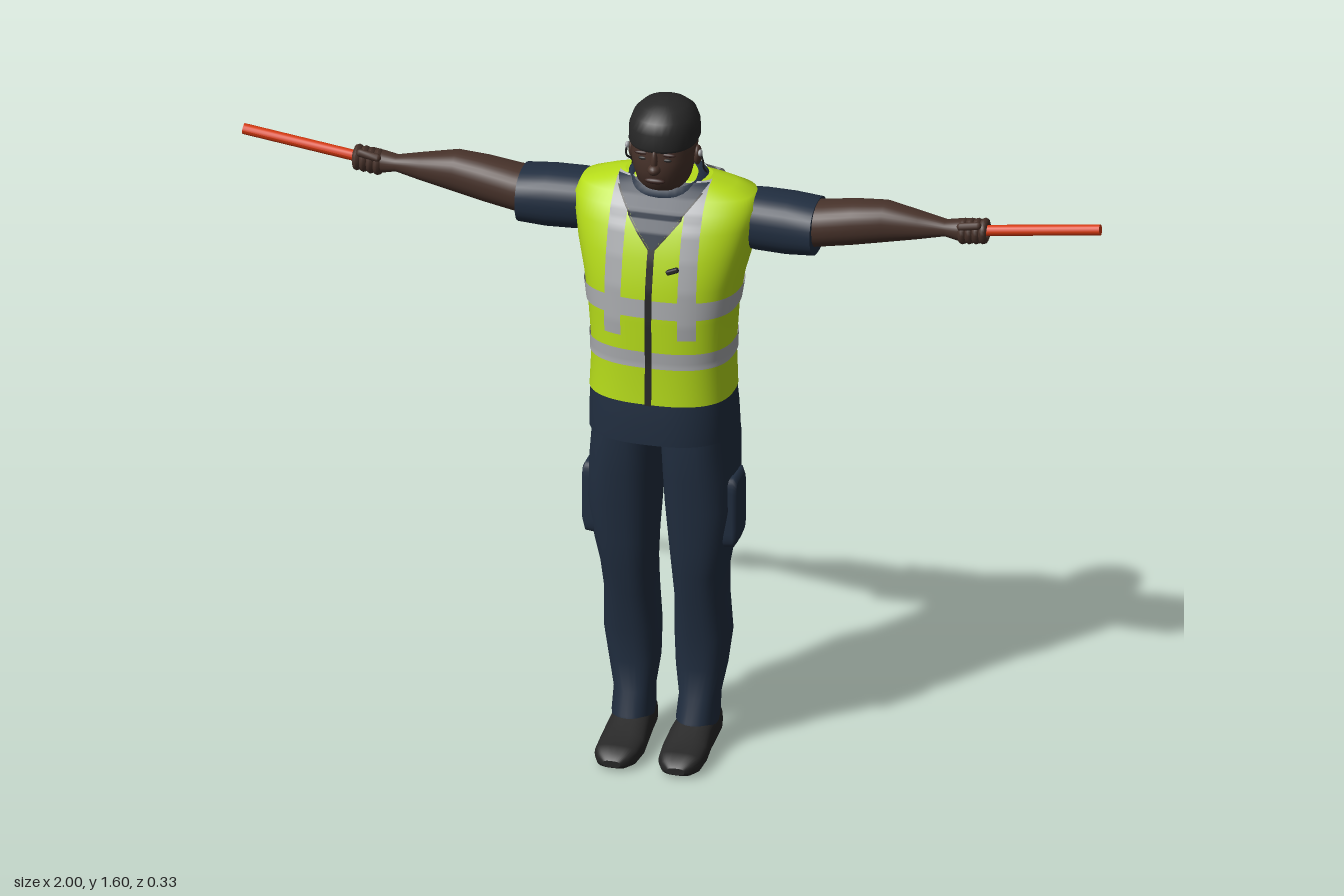
import * as THREE from 'three';
import { RoundedBoxGeometry } from 'three/addons/geometries/RoundedBoxGeometry.js';

const flat = (name, color) => {
  const m = new THREE.MeshStandardMaterial({ color });
  m.name = name;
  return m;
};

// Indices of a grid of rows x cols vertices, optionally closed around each row
function gridIndex(rows, cols, closed, flip = false) {
  const out = [];
  for (let i = 0; i < rows - 1; i++) for (let j = 0; j < (closed ? cols : cols - 1); j++) {
    const k = (j + 1) % cols;
    const a = i * cols + j, b = i * cols + k, c = (i + 1) * cols + k, d = (i + 1) * cols + j;
    if (flip) out.push(a, c, b, a, d, c); else out.push(a, b, c, a, c, d);
  }
  return out;
}

function build(pos, index) {
  const g = new THREE.BufferGeometry();
  g.setAttribute('position', new THREE.Float32BufferAttribute(pos, 3));
  g.setIndex(index);
  g.computeVertexNormals();
  return g;
}

// Loft of superellipse sections. Key: [position on axis, a0, a1, b0, b1];
// (a, b) is (z, x) for axis y, (y, z) for axis x and (x, y) for axis z.
function loft(axis, keys, { n = 2.2, seg = 32, caps = true } = {}) {
  const w = 'xyz'.indexOf(axis), pos = [];
  const add = (k, a, b) => {
    const p = [0, 0, 0];
    p[w] = k; p[(w + 1) % 3] = a; p[(w + 2) % 3] = b;
    pos.push(...p);
  };
  const ring = ([k, a0, a1, b0, b1]) => {
    for (let j = 0; j < seg; j++) {
      const t = j / seg * Math.PI * 2, c = Math.cos(t), s = Math.sin(t);
      add(k, (a0 + a1) / 2 + (a1 - a0) / 2 * Math.sign(c) * Math.abs(c) ** (2 / n),
        (b0 + b1) / 2 + (b1 - b0) / 2 * Math.sign(s) * Math.abs(s) ** (2 / n));
    }
  };
  keys.forEach(ring);
  const index = gridIndex(keys.length, seg, true);
  if (caps) [keys[0], keys[keys.length - 1]].forEach((key, end) => {
    const base = pos.length / 3;
    ring(key);
    add(key[0], (key[1] + key[2]) / 2, (key[3] + key[4]) / 2);
    for (let j = 0; j < seg; j++) {
      const a = base + j, b = base + (j + 1) % seg;
      index.push(base + seg, end ? a : b, end ? b : a);
    }
  });
  return build(pos, index);
}

// Mirror to the other side, keeping faces outward
function mirrored(g) {
  const m = g.clone().scale(-1, 1, 1), ix = m.index.array;
  for (let i = 0; i < ix.length; i += 3) [ix[i], ix[i + 1]] = [ix[i + 1], ix[i]];
  m.computeVertexNormals();
  return m;
}

// Torso sections: y, back z, front z, half width
const TORSO = [
  [0.90, -0.135, 0.125, 0.165], [1.00, -0.135, 0.12, 0.161], [1.10, -0.138, 0.125, 0.168],
  [1.18, -0.148, 0.12, 0.18], [1.25, -0.163, 0.105, 0.198], [1.31, -0.163, 0.085, 0.209],
  [1.35, -0.152, 0.06, 0.213], [1.374, -0.138, 0.037, 0.2], [1.39, -0.12, 0.018, 0.155], [1.405, -0.1, 0, 0.1]];
const TORSO_N = 2.6;

function torsoAt(y, lift = 0) {
  let i = 0;
  while (i < TORSO.length - 2 && y > TORSO[i + 1][0]) i++;
  const p = TORSO[i], q = TORSO[i + 1], t = (y - p[0]) / (q[0] - p[0]);
  const [zb, zf, h] = [1, 2, 3].map(k => p[k] + (q[k] - p[k]) * t);
  return [y, zb - lift, zf + lift, -h - lift, h + lift];
}

// Band lying around the torso
const band = (y0, y1, lift) => loft('y',
  Array.from({ length: 9 }, (_, i) => torsoAt(y0 + (y1 - y0) * i / 8, lift)), { n: TORSO_N, seg: 72, caps: false });

// Thin patch lying on the torso between x = left(y) and x = right(y)
function patch(left, right, y0, y1, front, lift) {
  const rows = 41, cols = 9, pos = [];
  for (let i = 0; i < rows; i++) {
    const y = y0 + (y1 - y0) * i / (rows - 1);
    const [, zb, zf, , h] = torsoAt(y, lift);
    for (let j = 0; j < cols; j++) {
      const x = THREE.MathUtils.clamp(left(y) + (right(y) - left(y)) * j / (cols - 1), -h, h);
      const depth = (zf - zb) / 2 * (1 - Math.abs(x / h) ** TORSO_N) ** (1 / TORSO_N);
      pos.push(x, y + (y > 1.34 ? lift : 0), (zf + zb) / 2 + (front ? depth : -depth));
    }
  }
  return build(pos, gridIndex(rows, cols, false, !front));
}

export function createModel() {
  const root = new THREE.Group();
  root.name = 'groundMarshaller';
  const lime = flat('hiVisLime', 0xb6dc1a), silver = flat('reflectiveSilver', 0xa9abae);
  const navy = flat('navyCloth', 0x212e40), skin = flat('skin', 0x47322a);
  const black = flat('charcoal', 0x272727), orange = flat('wandOrange', 0xd63a10);
  const lip = flat('lips', 0x3a2521);
  navy.side = silver.side = black.side = THREE.DoubleSide;

  const add = (name, geo, mat, x = 0, y = 0, z = 0) => {
    const m = new THREE.Mesh(geo, mat);
    m.name = name;
    m.position.set(x, y, z);
    root.add(m);
    return m;
  };
  const pair = (name, geo, mat) => {
    add(name + 'Left', geo, mat);
    add(name + 'Right', mirrored(geo), mat);
  };

  // Vest, reflective tape and front opening
  add('vest', loft('y', TORSO.map(k => torsoAt(k[0])), { n: TORSO_N, seg: 72 }), lime);
  add('waistTape', band(0.99, 1.03, 0.003), silver);
  add('chestTape', band(1.115, 1.158, 0.003), silver);
  for (const front of [true, false])
    pair(front ? 'frontTape' : 'backTape', patch(() => 0.066, () => 0.107, 1.065, 1.403, front, 0.004), silver);
  const neck = y => Math.max(0, (y - 1.27) * 0.82);
  add('zipper', patch(() => -0.008, () => 0.008, 0.9, 1.275, true, 0.006), black);
  add('shirtOpening', patch(y => -neck(y), neck, 1.27, 1.4, true, 0.006), navy);
  pair('lapelEdge', patch(neck, y => neck(y) + 0.005, 1.27, 1.385, true, 0.007), black);
  const clip = add('chestClip', new RoundedBoxGeometry(0.03, 0.012, 0.012, 2, 0.004), black, 0.052, 1.232, 0.112);
  clip.rotation.z = 0.4;

  // Shirt collar, higher at the back
  const collar = loft('y', [[1.375, -0.118, 0.045, -0.11, 0.11], [1.395, -0.112, 0.045, -0.098, 0.098],
    [1.415, -0.105, 0.04, -0.08, 0.08], [1.405, -0.095, 0.032, -0.07, 0.07]], { caps: false });
  const cp = collar.attributes.position;
  for (let i = 0; i < cp.count; i++) cp.setY(i, cp.getY(i) - 0.2 * (cp.getZ(i) + 0.03));
  collar.computeVertexNormals();
  add('collar', collar, navy);

  // Shirt tail and trouser legs
  add('shirtTail', loft('y', [[0.8, -0.152, 0.125, -0.167, 0.167], [0.85, -0.145, 0.126, -0.166, 0.166],
    [0.902, -0.132, 0.122, -0.163, 0.163]], { n: TORSO_N, seg: 48 }), navy);
  pair('trouserLeg', loft('y', [
    [0.05, -0.083, 0.04, 0.032, 0.118], [0.08, -0.088, 0.042, 0.028, 0.122], [0.13, -0.092, 0.018, 0.03, 0.122],
    [0.20, -0.102, 0.012, 0.02, 0.136], [0.28, -0.11, 0.022, 0.018, 0.147], [0.38, -0.104, 0.04, 0.022, 0.142],
    [0.45, -0.092, 0.058, 0.02, 0.146], [0.52, -0.088, 0.068, 0.015, 0.16], [0.62, -0.098, 0.082, 0.007, 0.174],
    [0.70, -0.122, 0.092, 0.002, 0.17], [0.77, -0.148, 0.1, -0.002, 0.165], [0.84, -0.14, 0.1, -0.002, 0.158]],
  { n: 2.4 }), navy);
  pair('cargoPocket', loft('x', [[0.13, 0.52, 0.7, -0.055, 0.045], [0.172, 0.525, 0.7, -0.055, 0.045],
    [0.18, 0.545, 0.685, -0.045, 0.035]], { n: 6 }), navy);

  // Shoes
  pair('shoe', loft('z', [
    [-0.096, 0.05, 0.1, 0.01, 0.06], [-0.085, 0.036, 0.115, 0, 0.085], [-0.03, 0.03, 0.12, 0, 0.095],
    [0.03, 0.024, 0.122, 0, 0.08], [0.08, 0.02, 0.126, 0, 0.058], [0.13, 0.025, 0.124, 0, 0.05],
    [0.155, 0.038, 0.112, 0.004, 0.04], [0.166, 0.055, 0.095, 0.01, 0.026]], { n: 3 }), black);

  // Sleeves, arms and fists
  pair('sleeve', loft('x', [[0.15, 1.245, 1.368, -0.135, 0.005], [0.21, 1.236, 1.372, -0.142, 0.008],
    [0.28, 1.234, 1.371, -0.142, 0.01], [0.344, 1.24, 1.366, -0.138, 0.012]], { n: 2.3 }), navy);
  pair('arm', loft('x', [
    [0.30, 1.252, 1.358, -0.125, 0], [0.36, 1.262, 1.366, -0.12, -0.003], [0.43, 1.273, 1.376, -0.118, -0.01],
    [0.50, 1.286, 1.381, -0.113, -0.02], [0.58, 1.302, 1.365, -0.1, -0.034], [0.64, 1.315, 1.352, -0.09, -0.046],
    [0.67, 1.308, 1.357, -0.096, -0.043], [0.70, 1.306, 1.36, -0.1, -0.045], [0.728, 1.312, 1.357, -0.096, -0.048]]), skin);
  for (let i = 0; i < 4; i++) {
    const finger = new THREE.TorusGeometry(0.021, 0.0095, 8, 18).rotateY(Math.PI / 2);
    pair('finger' + (i + 1), finger.translate(0.682 + i * 0.016, 1.331 + i * 0.002, -0.067), skin);
  }
  pair('thumb', new THREE.CapsuleGeometry(0.009, 0.04, 4, 10).rotateZ(-1.4).translate(0.7, 1.354, -0.046), skin);

  // Signal wands
  const from = new THREE.Vector3(0.67, 1.331, -0.066), to = new THREE.Vector3(0.999, 1.371, -0.073);
  const dir = to.clone().sub(from), mid = from.clone().add(to).multiplyScalar(0.5);
  const wand = new THREE.CylinderGeometry(0.0125, 0.0125, dir.length(), 16);
  wand.applyQuaternion(new THREE.Quaternion().setFromUnitVectors(new THREE.Vector3(0, 1, 0), dir.normalize()));
  pair('signalWand', wand.translate(mid.x, mid.y, mid.z), orange);

  // Head and neck
  const skull = [[1.34, -0.095, 0.012, 0.056], [1.388, -0.086, 0.018, 0.055], [1.398, -0.083, 0.048, 0.05],
    [1.415, -0.085, 0.066, 0.059], [1.45, -0.09, 0.078, 0.068], [1.475, -0.096, 0.076, 0.073],
    [1.5, -0.1, 0.076, 0.074], [1.53, -0.098, 0.072, 0.073]];
  add('head', loft('y', skull.map(([y, b, f, h]) => [y, b, f, -h, h])), skin);
  const cap = [[1.503, -0.102, 0.077, 0.076], [1.51, -0.106, 0.081, 0.079], [1.545, -0.105, 0.08, 0.078],
    [1.57, -0.094, 0.069, 0.069], [1.588, -0.07, 0.046, 0.051], [1.597, -0.042, 0.02, 0.028], [1.6, -0.02, 0, 0.008]];
  add('cap', loft('y', cap.map(([y, b, f, h]) => [y, b, f, -h, h])), black);
  const ball = (x, y, z) => new THREE.SphereGeometry(1, 16, 12).scale(x, y, z);
  add('nose', ball(0.015, 0.013, 0.018), skin, 0, 1.462, 0.077);
  add('noseBridge', ball(0.008, 0.026, 0.01), skin, 0, 1.482, 0.076);
  add('mouth', ball(0.024, 0.007, 0.008), lip, 0, 1.432, 0.072);
  pair('eye', ball(0.011, 0.004, 0.004).translate(0.028, 1.485, 0.07), black);
  pair('brow', ball(0.018, 0.005, 0.006).translate(0.03, 1.498, 0.069), lip);
  pair('ear', ball(0.009, 0.024, 0.016).translate(0.076, 1.468, -0.015), skin);

  // Earpieces and their wires
  pair('earpiece', ball(0.005, 0.008, 0.008).translate(0.085, 1.478, -0.004), silver);
  const wire = new THREE.CatmullRomCurve3([[0.086, 1.478, -0.004], [0.09, 1.45, -0.012],
    [0.083, 1.425, -0.04], [0.09, 1.395, -0.06]].map(p => new THREE.Vector3(...p)));
  pair('earpieceWire', new THREE.TubeGeometry(wire, 16, 0.0025, 6), black);

  return root;
}
